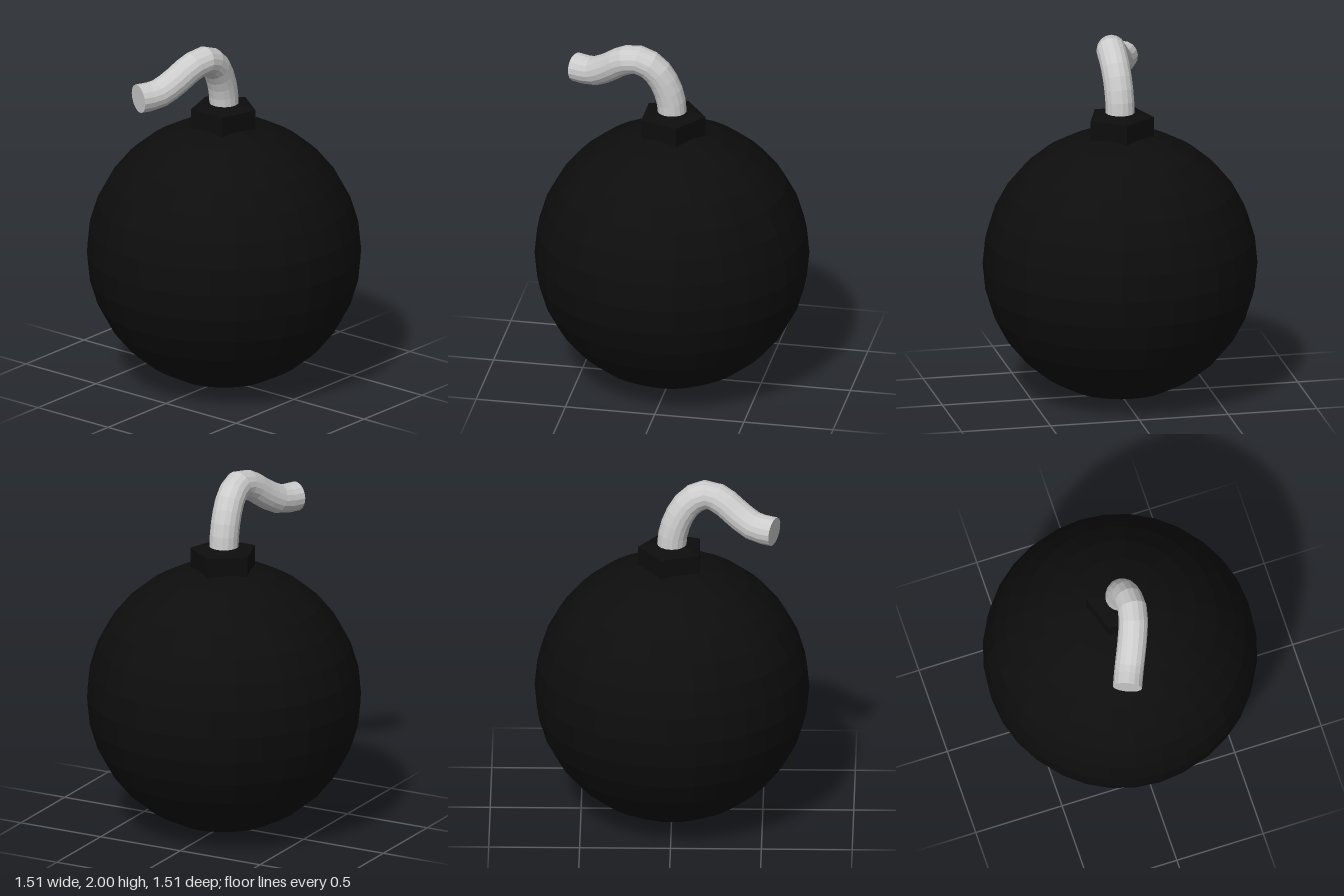
import * as THREE from 'three';

const black = new THREE.MeshStandardMaterial({ color: 0x0d0d0d, flatShading: true });
const grey = new THREE.MeshStandardMaterial({ color: 0xcccccc, flatShading: true });

function part(name, geometry, material) {
  const mesh = new THREE.Mesh(geometry, material);
  mesh.name = name;
  return mesh;
}

export function createModel() {
  const model = new THREE.Group();
  model.name = 'bomb';

  // Round body
  const R = 0.756;
  const body = part('body', new THREE.SphereGeometry(R, 32, 16), black);
  body.position.y = R;
  model.add(body);

  // Five-sided collar with a slightly raised top, one corner towards +x
  const profile = [[0, 1.44], [0.187, 1.44], [0.187, 1.6], [0.1, 1.622], [0, 1.622]]
    .map(([r, y]) => new THREE.Vector2(r, y));
  model.add(part('collar', new THREE.LatheGeometry(profile, 5, Math.PI / 2), black));

  // Curved fuse, bending to the right and back
  const path = new THREE.CatmullRomCurve3([
    [0.002, 1.55, 0], [-0.003, 1.67, 0], [-0.04, 1.79, 0.004], [-0.11, 1.885, 0.01],
    [-0.2, 1.92, 0.008], [-0.29, 1.885, -0.02], [-0.37, 1.825, -0.055],
    [-0.46, 1.775, -0.098], [-0.565, 1.768, -0.143],
  ].map((p) => new THREE.Vector3(...p)));
  const fuseRadius = 0.081;
  const sides = 16;
  const fuse = new THREE.Group();
  fuse.name = 'fuse';
  fuse.add(part('fuseCord', new THREE.TubeGeometry(path, 14, fuseRadius, sides), grey));

  // Flat cut end of the fuse
  const end = part('fuseEnd', new THREE.CircleGeometry(fuseRadius, sides), grey);
  end.position.copy(path.getPointAt(1));
  end.quaternion.setFromUnitVectors(new THREE.Vector3(0, 0, 1), path.getTangentAt(1));
  fuse.add(end);
  model.add(fuse);

  return model;
}
